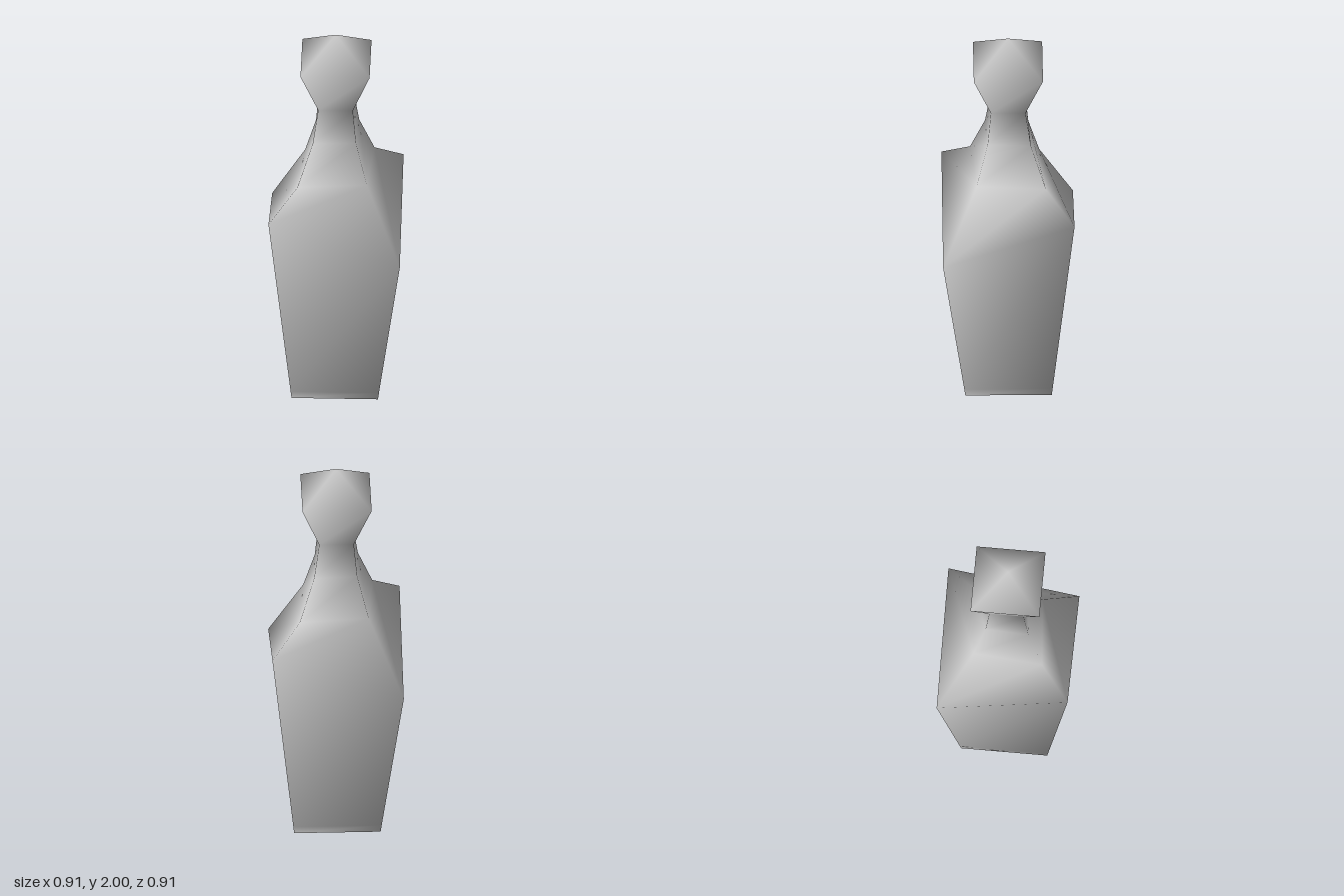
import * as THREE from 'three';

// Rings from bottom to neck to head: [height of x corners, x radius, height of z corners, z radius]
const RINGS = [
  [0, 0.3, 0, 0.3],
  [0.04, 0.307, 0.04, 0.306],
  [0.85, 0.456, 1.09, 0.456],
  [1.22, 0.22, 1.22, 0.26],
  [1.43, 0.143, 1.43, 0.157],
  [1.61, 0.12, 1.61, 0.12],
  [1.86, 0.24, 1.86, 0.24],
];

export function createModel() {
  const group = new THREE.Group();
  group.name = 'bottle';
  const grey = new THREE.MeshStandardMaterial({ color: 0xcccccc, side: THREE.DoubleSide });
  grey.name = 'grey';

  // Four corners per ring, in the order +z, +x, -z, -x
  const positions = [];
  for (const [xy, xr, zy, zr] of RINGS) {
    positions.push(0, zy, zr, xr, xy, 0, 0, zy, -zr, -xr, xy, 0);
  }
  const apex = RINGS.length * 4;
  positions.push(0, 2, 0);

  const index = [];
  for (let r = 0; r < RINGS.length; r++) {
    for (let i = 0; i < 4; i++) {
      const a = r * 4 + i;
      const b = r * 4 + ((i + 1) % 4);
      if (r === RINGS.length - 1) index.push(a, b, apex); // pointed stopper top
      else index.push(a, b, b + 4, a, b + 4, a + 4); // walls
    }
  }
  index.push(4, 7, 6, 4, 6, 5); // slightly recessed floor

  const geometry = new THREE.BufferGeometry();
  geometry.setAttribute('position', new THREE.Float32BufferAttribute(positions, 3));
  geometry.setIndex(index);
  geometry.computeVertexNormals();

  const body = new THREE.Mesh(geometry, grey);
  body.name = 'bottleBody';
  group.add(body);
  return group;
}
